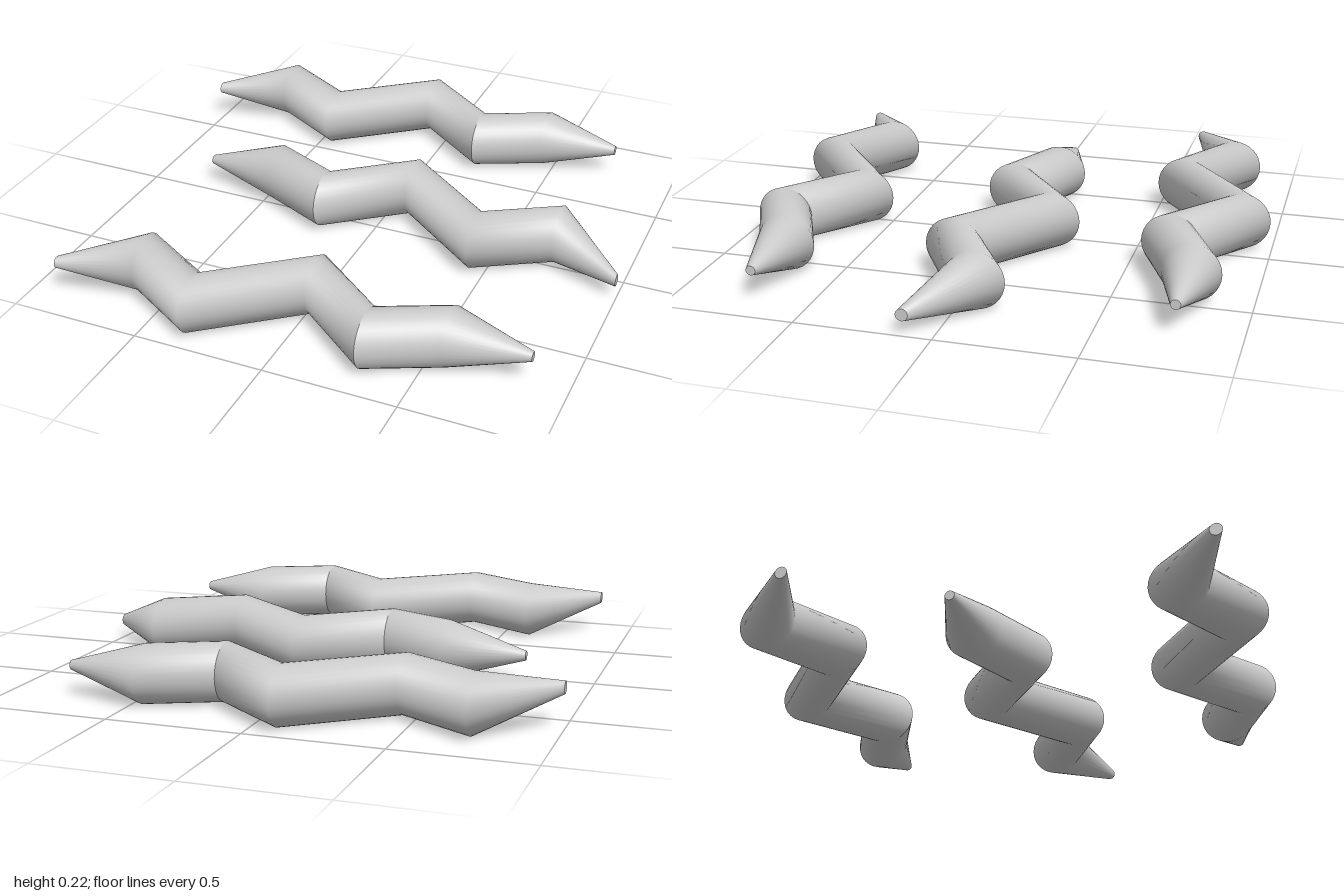
import * as THREE from 'three';

const SIDES = 32;
const R = 0.109;

// Stations along one strand: x, y, z, radius (sections lie in the yz plane)
const STATIONS = [
  [-0.905, 0.034, 0.285, 0.0225],
  [-0.635, 0, 0.113, R],
  [-0.355, 0, 0.277, R],
  [0, 0, 0, R],
  [0.29, 0, 0.225, R],
  [0.55, 0, 0.106, R],
  [0.845, 0.005, 0.111, 0.018],
];

// Smooth loft through circular sections
function loft(stations) {
  const pos = [], idx = [];
  for (const [x, y, z, r] of stations) {
    for (let j = 0; j < SIDES; j++) {
      const a = (j / SIDES) * Math.PI * 2;
      pos.push(x, y + r * Math.cos(a), z + r * Math.sin(a));
    }
  }
  for (let i = 0; i < stations.length - 1; i++) {
    for (let j = 0; j < SIDES; j++) {
      const k = (j + 1) % SIDES;
      const a = i * SIDES + j, b = i * SIDES + k;
      idx.push(a, b, a + SIDES, b, b + SIDES, a + SIDES);
    }
  }
  const g = new THREE.BufferGeometry();
  g.setAttribute('position', new THREE.Float32BufferAttribute(pos, 3));
  g.setIndex(idx);
  g.computeVertexNormals();
  return g;
}

export function createModel() {
  const model = new THREE.Group();
  const material = new THREE.MeshStandardMaterial({ color: 0xcccccc });

  function strand(name, x, z, flipped) {
    const group = new THREE.Group();
    group.name = name;
    const add = (part, geometry) => {
      const mesh = new THREE.Mesh(geometry, material);
      mesh.name = part;
      group.add(mesh);
      return mesh;
    };
    // Zigzag body and tail, with a sharp joint between them
    add('zigzagBody', loft(STATIONS.slice(0, 5)));
    add('tail', loft(STATIONS.slice(4)));
    // Flat discs closing the blunt tips
    for (const [i, side] of [[0, -1], [STATIONS.length - 1, 1]]) {
      const [px, py, pz, r] = STATIONS[i];
      const cap = add('tipCap', new THREE.CircleGeometry(r, SIDES));
      cap.position.set(px, py, pz);
      cap.rotation.y = side * Math.PI / 2;
    }
    group.position.set(x, R, z);
    if (flipped) group.rotation.z = Math.PI;
    model.add(group);
  }

  // Three strands, the middle one turned end for end
  strand('frontStrand', 0.025, 0.598, false);
  strand('middleStrand', 0.09, -0.179, true);
  strand('backStrand', -0.093, -0.881, false);
  return model;
}
